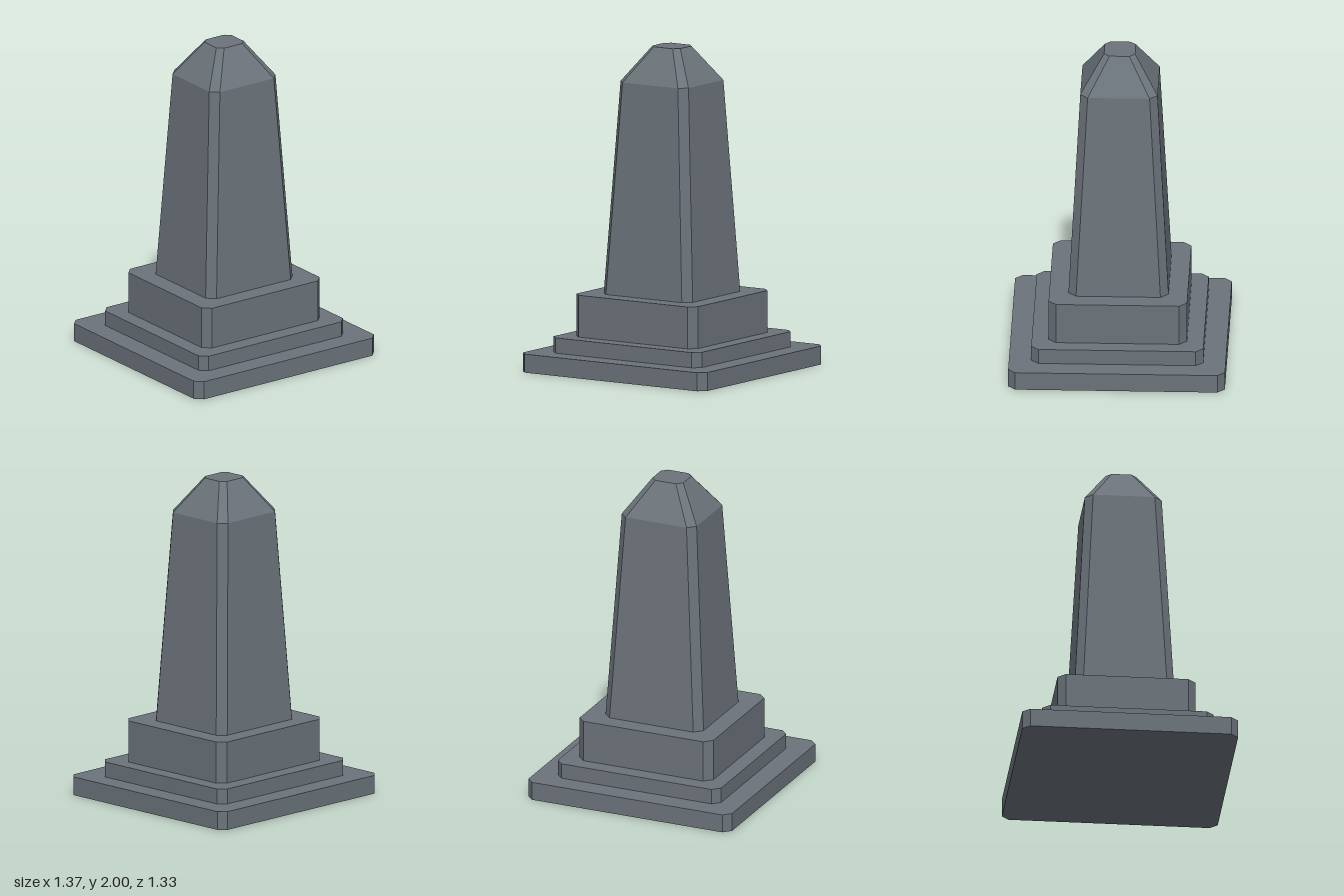
import * as THREE from 'three';

// Rectangle with cut corners at height y, counter-clockwise seen from above
function ring([y, hx, hz, c]) {
  return [
    [hx, hz - c], [hx, -hz + c], [hx - c, -hz], [-hx + c, -hz],
    [-hx, -hz + c], [-hx, hz - c], [-hx + c, hz], [hx - c, hz],
  ].map(([x, z]) => [x, y, z]);
}

// Closed solid through a stack of sections [y, halfWidth, halfDepth, cornerCut]
function loft(sections) {
  const rings = sections.map(ring);
  const n = 8;
  const positions = [];
  const tri = (a, b, c) => positions.push(...a, ...b, ...c);
  for (let k = 0; k < rings.length - 1; k++) {
    const lo = rings[k], hi = rings[k + 1];
    for (let i = 0; i < n; i++) {
      const j = (i + 1) % n;
      tri(lo[i], lo[j], hi[j]);
      tri(lo[i], hi[j], hi[i]);
    }
  }
  const bottom = rings[0], top = rings[rings.length - 1];
  for (let i = 1; i < n - 1; i++) {
    tri(bottom[0], bottom[i + 1], bottom[i]);
    tri(top[0], top[i], top[i + 1]);
  }
  const geometry = new THREE.BufferGeometry();
  geometry.setAttribute('position', new THREE.Float32BufferAttribute(positions, 3));
  geometry.computeVertexNormals();
  return geometry;
}

export function createModel() {
  const group = new THREE.Group();
  group.name = 'obelisk';
  const stone = new THREE.MeshStandardMaterial({ color: 0x6b737a, flatShading: true });

  const add = (name, sections) => {
    const mesh = new THREE.Mesh(loft(sections), stone);
    mesh.name = name;
    group.add(mesh);
  };

  // Stepped plinth
  add('baseSlab', [[0, 0.685, 0.665, 0.045], [0.115, 0.685, 0.665, 0.045]]);
  add('middleStep', [[0.115, 0.55, 0.528, 0.045], [0.21, 0.55, 0.528, 0.045]]);
  add('pedestal', [[0.21, 0.45, 0.425, 0.047], [0.47, 0.45, 0.425, 0.047]]);

  // Tapered shaft and its blunt cap
  add('shaft', [[0.47, 0.33, 0.307, 0.048], [1.785, 0.252, 0.237, 0.047]]);
  add('cap', [[1.785, 0.252, 0.237, 0.047], [2, 0.103, 0.095, 0.034]]);

  return group;
}
